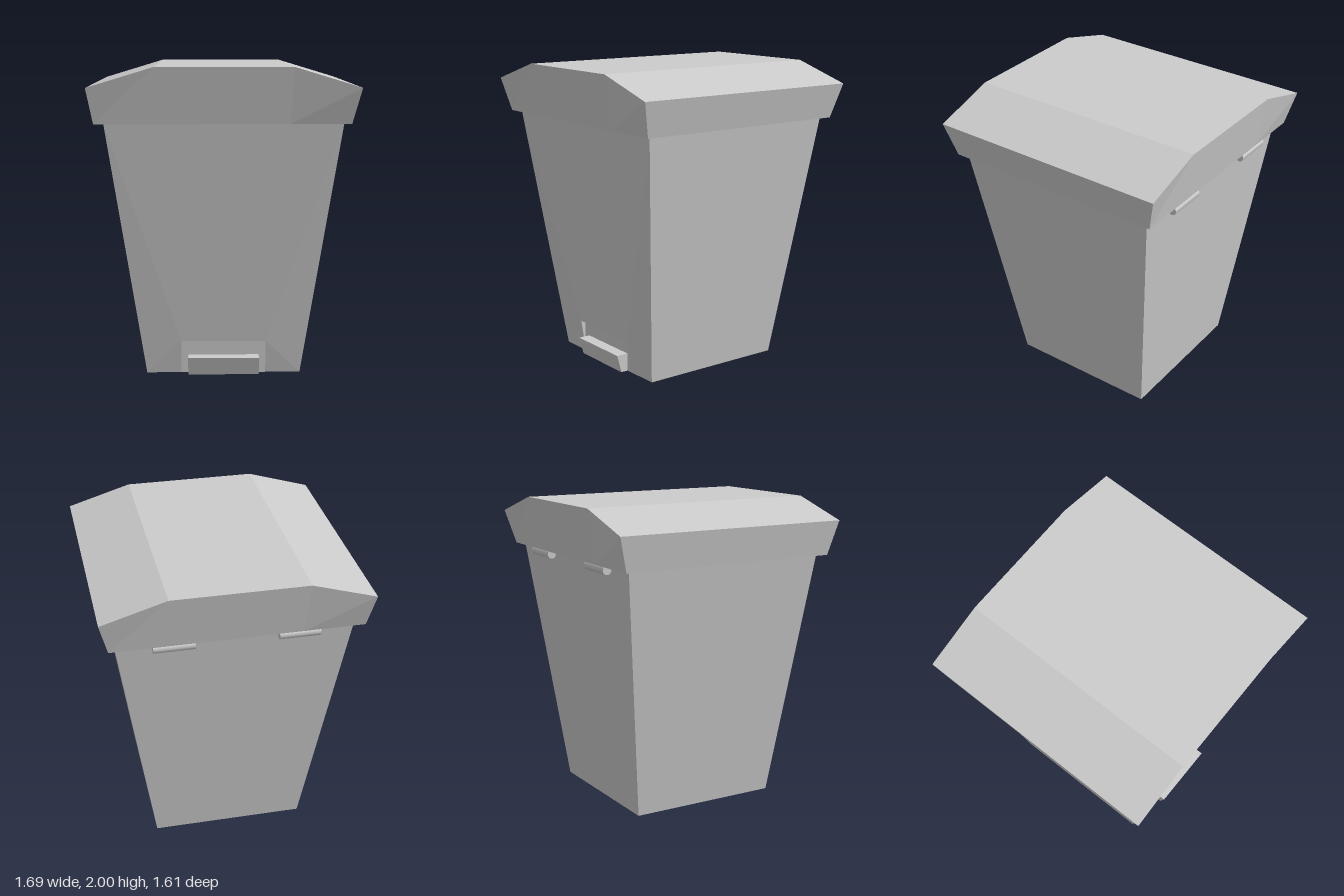
import * as THREE from 'three';

const material = new THREE.MeshStandardMaterial({ color: 0xcccccc, flatShading: true });
const smooth = new THREE.MeshStandardMaterial({ color: 0xcccccc });

// Builds a flat-sided mesh from polygons whose corners run anticlockwise seen from outside
function solid(name, faces) {
  const pos = [];
  for (const f of faces)
    for (let i = 1; i < f.length - 1; i++) pos.push(...f[0], ...f[i], ...f[i + 1]);
  const geo = new THREE.BufferGeometry();
  geo.setAttribute('position', new THREE.Float32BufferAttribute(pos, 3));
  geo.computeVertexNormals();
  const mesh = new THREE.Mesh(geo, material);
  mesh.name = name;
  return mesh;
}

// Side walls between two rings of corners (anticlockwise seen from above)
const walls = (low, high) => low.map((p, i) => {
  const j = (i + 1) % low.length;
  return [p, low[j], high[j], high[i]];
});

// Rectangle ring: front left, front right, back right, back left in x order
const ring = (x, y, front, back) => [[-x, y, front], [x, y, front], [x, y, back], [-x, y, back]];

function createBody() {
  const low = ring(0.5, 0, 0.51, -0.5);
  const high = ring(0.745, 1.65, 0.7, -0.695);
  const faces = walls(low, high).slice(1);
  faces.push([...low].reverse(), high);
  // front wall around the shallow pedal recess
  const w = 0.275, h = 0.22, z = 0.545;
  const tl = [-w, h, z], tr = [w, h, z];
  const bl = [-w, 0, 0.51], br = [w, 0, 0.51];
  const il = [-w, h, 0.512], ir = [w, h, 0.512];
  faces.push(
    [tl, tr, high[1], high[0]],
    [low[0], bl, tl], [low[0], tl, high[0]],
    [br, low[1], tr], [low[1], high[1], tr],
    [bl, br, ir, il],          // recess back
    [tl, il, ir, tr],          // recess ceiling
    [bl, il, tl], [br, tr, ir] // recess cheeks
  );
  return solid('binBody', faces);
}

function createLid() {
  const xs = [-0.843, -0.43, 0.43, 0.843], ys = [1.875, 2, 2, 1.875];
  const lowX = [-0.803, -0.41, 0.41, 0.788];
  const row = (x, y, z) => x.map((v, i) => [v, y[i], z]);
  const base = [1.65, 1.65, 1.65, 1.65];
  const lf = row(lowX, base, 0.743), lb = row(lowX, base, -0.743);
  const hf = row(xs, ys, 0.803), hb = row(xs, ys, -0.803);
  const low = [...lf, ...[...lb].reverse()];
  const high = [...hf, ...[...hb].reverse()];
  const faces = walls(low, high);
  faces.push([lf[0], lb[0], lb[3], lf[3]]);
  // three roof panels
  for (let i = 0; i < 3; i++) faces.push([hf[i], hf[i + 1], hb[i + 1], hb[i]]);
  return solid('lid', faces);
}

function createPedal() {
  const low = ring(0.23, 0, 0.56, 0.5);
  const high = ring(0.23, 0.12, 0.593, 0.5);
  return solid('footPedal', [...walls(low, high), [...low].reverse(), high]);
}

export function createModel() {
  const bin = new THREE.Group();
  bin.name = 'pedalBin';
  bin.add(createBody(), createLid(), createPedal());
  // hinge barrels under the back edge of the lid
  for (const side of [-1, 1]) {
    const hinge = new THREE.Mesh(new THREE.CylinderGeometry(0.03, 0.03, 0.26, 16), smooth);
    hinge.name = side > 0 ? 'leftHinge' : 'rightHinge';
    hinge.rotation.z = Math.PI / 2;
    hinge.position.set(side * 0.39, 1.63, -0.72);
    bin.add(hinge);
  }
  return bin;
}
